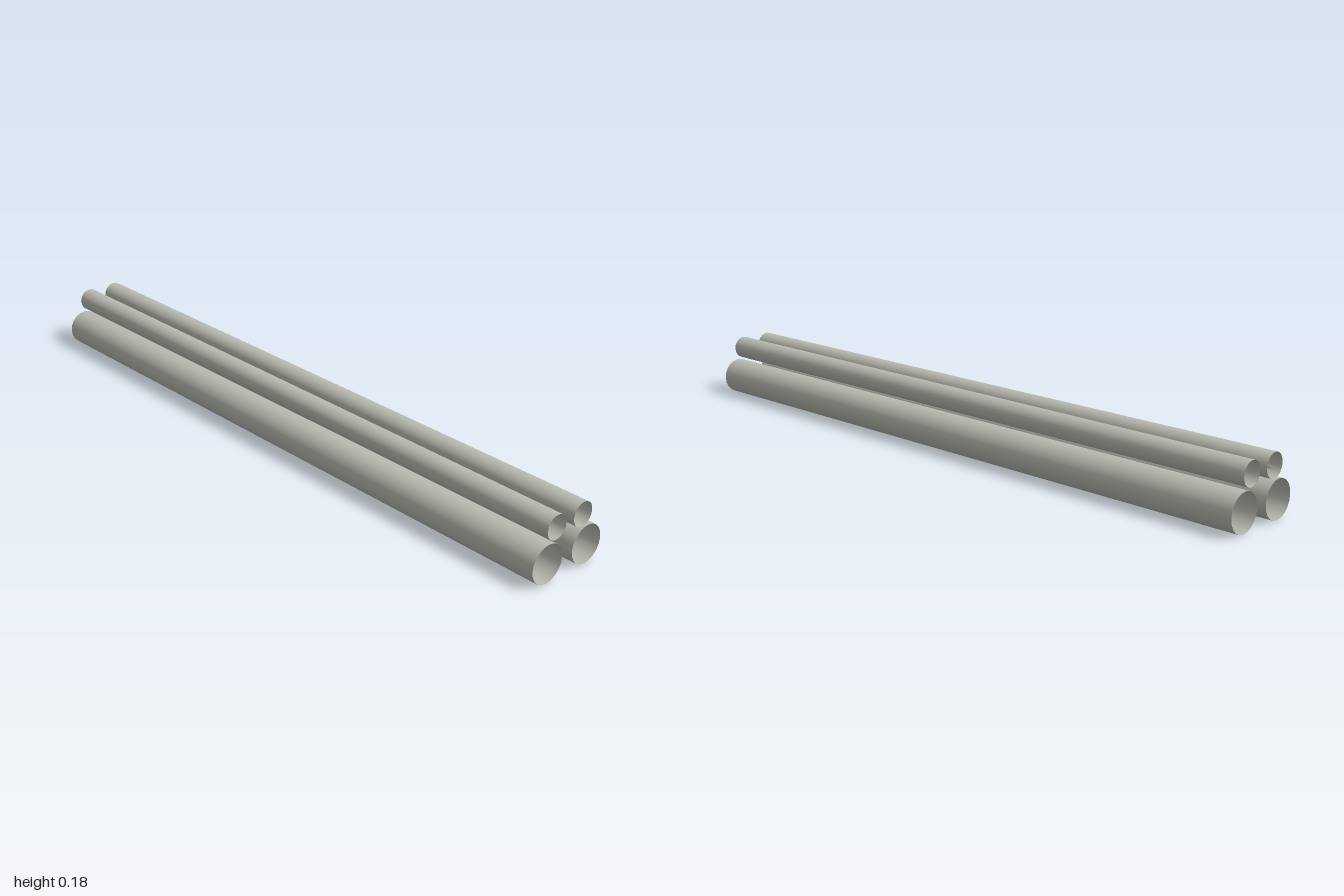
import * as THREE from 'three';

const steel = new THREE.MeshStandardMaterial({ color: 0xb8bab0, side: THREE.DoubleSide });
steel.name = 'pale steel';

const LENGTH = 2;
const LOWER = { r: 0.054, y: 0.054, z: 0.072 };
const UPPER = { r: 0.034, y: 0.146, z: 0.048 };
const TEETH = 11;

// Open-ended thin tube lying along x
function tube(name, { r, y, z }, side) {
  const geo = new THREE.CylinderGeometry(r, r, LENGTH, 20, 1, true);
  geo.rotateZ(Math.PI / 2);
  const mesh = new THREE.Mesh(geo, steel);
  mesh.position.set(0, y, z * side);
  mesh.name = name;
  return mesh;
}

// One tooth of a thin saw-edged strip wrapped round the front of the upper tube
function tooth(i) {
  const pitch = LENGTH / TEETH;
  const geo = new THREE.PlaneGeometry(1, 1, 1, 5);
  const p = geo.attributes.position;
  const r = UPPER.r + 0.0006;
  for (let k = 0; k < p.count; k++) {
    const u = p.getX(k) + 0.5, v = p.getY(k) + 0.5;
    const top = THREE.MathUtils.lerp(-0.65, 0.03, u);
    const a = THREE.MathUtils.lerp(-0.9, top, v);
    p.setXYZ(k, -LENGTH / 2 + (i + u) * pitch, r * Math.sin(a), r * Math.cos(a));
  }
  geo.computeVertexNormals();
  const mesh = new THREE.Mesh(geo, steel);
  mesh.name = 'sawTooth';
  return mesh;
}

export function createModel() {
  const model = new THREE.Group();
  model.name = 'tubeBundle';

  // Two wide tubes below, two narrow tubes above
  for (const [label, side] of [['Front', 1], ['Back', -1]]) {
    model.add(tube('lowerTube' + label, LOWER, side));
    model.add(tube('upperTube' + label, UPPER, side));
  }

  // Saw-edged strip on the front upper tube
  const strip = new THREE.Group();
  strip.name = 'sawEdgeStrip';
  strip.position.set(0, UPPER.y, UPPER.z);
  for (let i = 0; i < TEETH; i++) strip.add(tooth(i));
  model.add(strip);

  return model;
}
